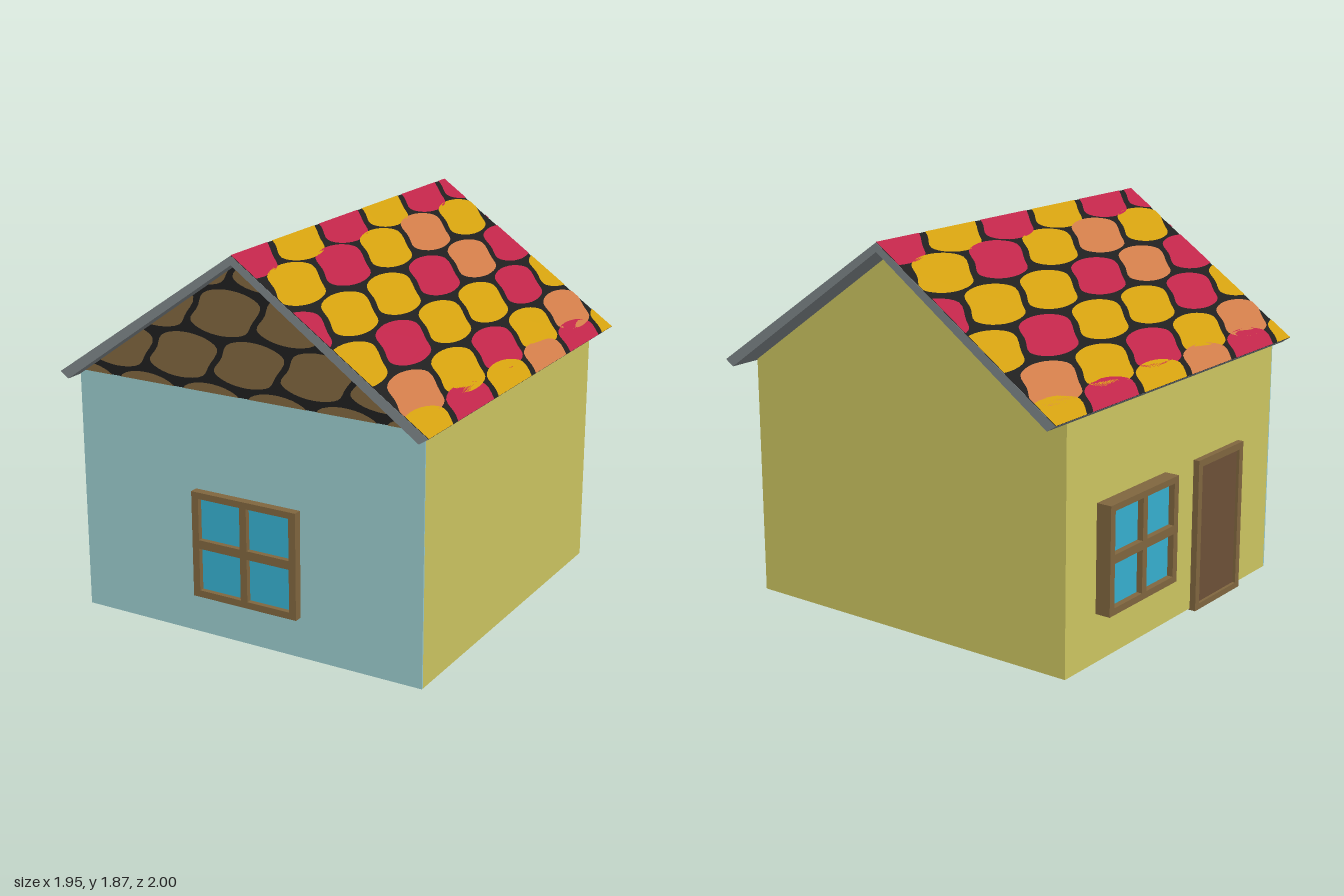
import * as THREE from 'three';

const mat = (name, color) => {
  const m = new THREE.MeshStandardMaterial({ color });
  m.name = name;
  return m;
};

export function createModel() {
  const house = new THREE.Group();
  house.name = 'house';
  const blue = mat('paleBlueWall', 0x9acbcd), yellow = mat('yellowWall', 0xcdc661);
  const gold = mat('goldTile', 0xd3a00e), crimson = mat('crimsonTile', 0xbf2549);
  const orange = mat('orangeTile', 0xcf7c49), mortar = mat('darkMortar', 0x1f1f1f);
  const grey = mat('greyRoofEdge', 0x7f878a), wood = mat('brownWood', 0x80663f);
  const doorWood = mat('darkDoorWood', 0x6d5138), glass = mat('blueGlass', 0x36b0cf);

  const add = (parent, name, geo, material, x = 0, y = 0, z = 0) => {
    const m = new THREE.Mesh(geo, material);
    m.name = name;
    m.position.set(x, y, z);
    parent.add(m);
    return m;
  };
  const shapeOf = pts => new THREE.Shape(pts.map(([x, y]) => new THREE.Vector2(x, y)));
  const extrude = (shape, depth) => new THREE.ExtrudeGeometry(shape, { depth, bevelEnabled: false });
  const rect = (x0, y0, x1, y1) => [[x0, y0], [x1, y0], [x1, y1], [x0, y1]];

  // Clip a polygon to a convex, counter-clockwise region
  const clip = (poly, region) => {
    region.forEach((a, i) => {
      const b = region[(i + 1) % region.length], out = [];
      const side = p => (b[0] - a[0]) * (p[1] - a[1]) - (b[1] - a[1]) * (p[0] - a[0]);
      poly.forEach((p, j) => {
        const q = poly[(j + 1) % poly.length], dp = side(p), dq = side(q);
        if (dp >= 0) out.push(p);
        if (dp * dq < 0) {
          const t = dp / (dp - dq);
          out.push([p[0] + (q[0] - p[0]) * t, p[1] + (q[1] - p[1]) * t]);
        }
      });
      poly = out;
    });
    return poly;
  };

  // Rounded, slanted tile outline in a unit of about -1..1
  const outline = new THREE.CatmullRomCurve3(
    [[-1, -0.5], [-0.68, -0.85], [-0.05, -1], [0.55, -0.8], [0.75, -0.3], [1, 0.5], [0.62, 0.88], [-0.05, 1], [-0.6, 0.75], [-0.78, 0.1]]
      .map(([x, y]) => new THREE.Vector3(x, y, 0)), true, 'centripetal').getPoints(36).slice(0, -1);
  const tileGeo = (cx, cy, w, h, region) => {
    const poly = clip(outline.map(p => [cx + p.x * w, cy + p.y * h]), region);
    return poly.length > 2 ? new THREE.ShapeGeometry(shapeOf(poly)) : null;
  };

  // Walls: one gabled body with a blue front plate
  const cx = 0.012;
  const body = shapeOf([[-0.9, 0.008], [0.917, 0.008], [0.917, 1.185], [cx, 1.828], [-0.9, 1.185]]);
  add(house, 'walls', extrude(body, 1.76), yellow, 0, 0, -0.85);
  add(house, 'frontWall', new THREE.BoxGeometry(1.817, 1.192, 0.008), blue, 0.0085, 0.604, 0.911);

  // Patterned front gable
  const gable = [[-0.89, 1.2], [0.914, 1.2], [cx, 1.835]];
  add(house, 'gablePanel', extrude(shapeOf(gable), 0.007), mortar, 0, 0, 0.907);
  const gableTiles = new THREE.Group();
  gableTiles.name = 'gableTiles';
  house.add(gableTiles);
  for (let row = 0; row < 4; row++) {
    for (let i = -3; i < 4; i++) {
      const geo = tileGeo(0.04 + i * 0.35 + (row - 1) * -0.12, 1.135 + row * 0.222, 0.185, 0.107, gable);
      if (geo) add(gableTiles, 'gableTile', geo, wood, 0, 0, 0.9175);
    }
  }

  // Roof slab
  const top = 1.865, eave = 1.203, half = 0.962, slope = (top - eave) / half;
  add(house, 'roofSlab', extrude(shapeOf([
    [cx - half, eave], [cx - half + 0.045, 1.174], [cx, 1.823], [cx + half - 0.045, 1.174], [cx + half, eave], [cx, top],
  ]), 2), grey, 0, 0, -1);

  // Roof tiles: each row is [height, first tile centre, colours]
  const rows = [
    [1.217, -0.94, [gold, crimson, gold, orange, crimson, gold]],
    [1.318, -0.8, [orange, gold, crimson, gold, orange]],
    [1.453, -0.95, [gold, crimson, gold, gold, crimson, gold]],
    [1.588, -1.08, [crimson, gold, gold, crimson, orange, crimson]],
    [1.723, -0.8, [gold, crimson, gold, orange, gold, crimson]],
    [1.842, -0.92, [crimson, gold, crimson, gold, crimson, crimson]],
  ];
  const region = rect(-1, eave, 1, top);
  // Lay a flat drawing (across, height) onto the slope
  const onSlope = (geo, lift) => {
    const p = geo.attributes.position, n = new THREE.Vector2(slope, 1).normalize();
    for (let i = 0; i < p.count; i++) {
      const x = p.getX(i), y = p.getY(i);
      p.setXYZ(i, (top - y) / slope + n.x * lift, y + n.y * lift, -x);
    }
    geo.computeVertexNormals();
    return geo;
  };
  for (const side of ['left', 'right']) {
    const pitch = new THREE.Group();
    pitch.name = side + 'RoofPitch';
    pitch.position.x = cx;
    if (side === 'right') pitch.rotation.y = Math.PI;
    house.add(pitch);
    add(pitch, 'mortar', onSlope(new THREE.ShapeGeometry(shapeOf(region)), 0.001), mortar);
    for (const [y, start, colours] of rows) {
      colours.forEach((colour, i) => {
        const geo = tileGeo(start + i * 0.4, y, 0.207, 0.067, region);
        if (geo) add(pitch, 'roofTile', onSlope(geo, 0.004), colour);
      });
    }
  }

  // Frame with rectangular openings, each filled by a recessed panel
  const framed = (name, w, h, depth, recess, holes, panelName, panelMat) => {
    const g = new THREE.Group();
    g.name = name;
    const shape = shapeOf(rect(-w / 2, 0, w / 2, h));
    for (const r of holes) {
      shape.holes.push(new THREE.Path(rect(...r).map(([x, y]) => new THREE.Vector2(x, y))));
      add(g, panelName, new THREE.PlaneGeometry(r[2] - r[0], r[3] - r[1]), panelMat,
        (r[0] + r[2]) / 2, (r[1] + r[3]) / 2, depth - recess);
    }
    add(g, name + 'Frame', extrude(shape, depth), wood);
    house.add(g);
    return g;
  };
  const panes = [];
  for (const [x0, x1] of [[-0.242, -0.018], [0.018, 0.242]])
    for (const [y0, y1] of [[0.033, 0.242], [0.284, 0.487]]) panes.push([x0, y0, x1, y1]);

  // Front window, side window and door
  framed('frontWindow', 0.556, 0.518, 0.041, 0.025, panes, 'pane', glass).position.set(0.018, 0.207, 0.915);
  const sideWindow = framed('sideWindow', 0.556, 0.518, 0.075, 0.03, panes, 'pane', glass);
  sideWindow.position.set(-0.9, 0.242, -0.34);
  sideWindow.rotation.y = -Math.PI / 2;
  const door = framed('door', 0.414, 0.757, 0.065, 0.015, [[-0.172, 0.03, 0.172, 0.722]], 'doorPanel', doorWood);
  door.position.set(-0.866, 0, 0.395);
  door.rotation.y = -Math.PI / 2;

  return house;
}
